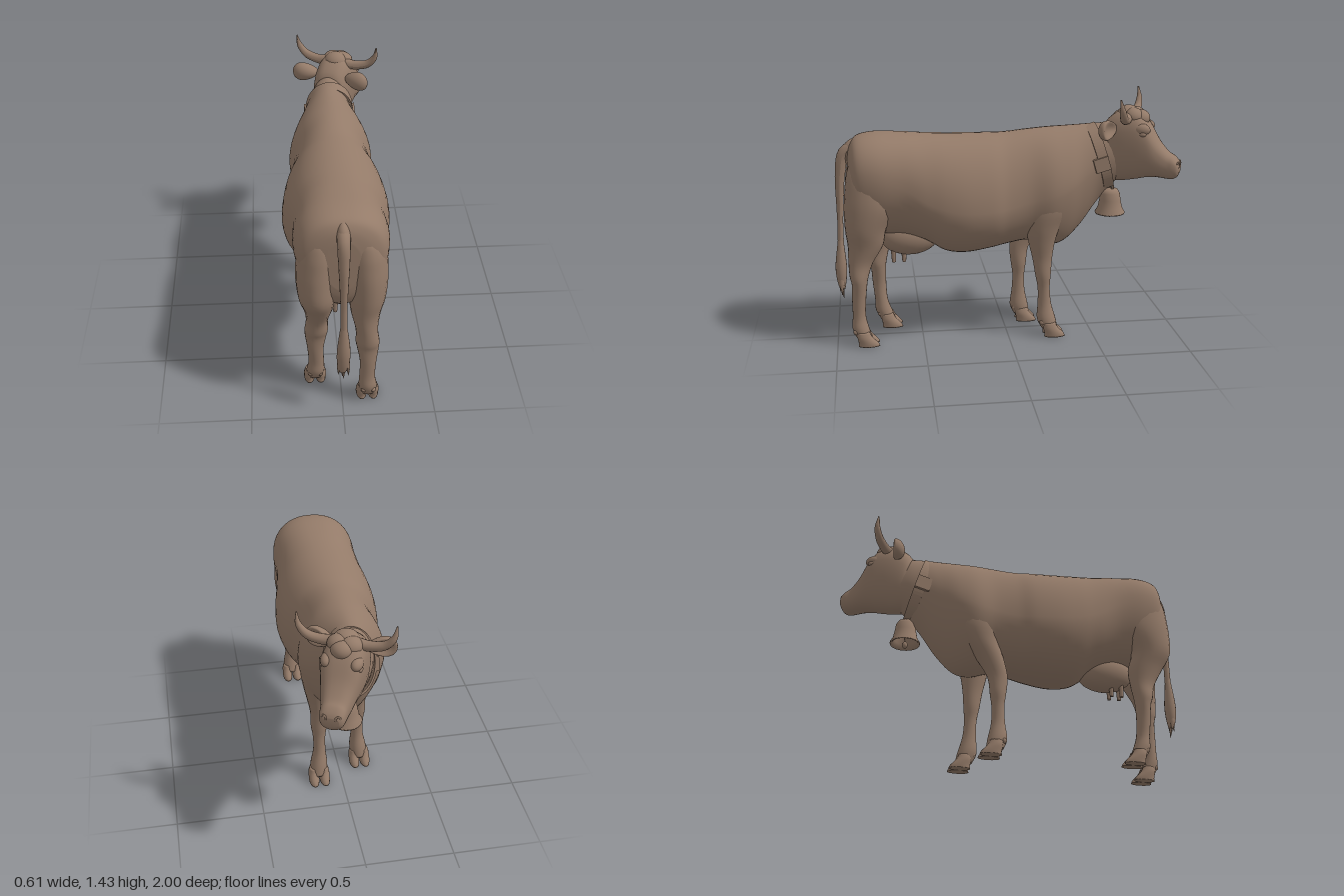
import * as THREE from 'three';

const hide = new THREE.MeshStandardMaterial({ color: 0x947b69, side: THREE.DoubleSide });
hide.name = 'brown hide';

function add(parent, name, geometry, pos = [0, 0, 0], scale = [1, 1, 1]) {
  const m = new THREE.Mesh(geometry, hide);
  m.name = name;
  m.position.set(...pos);
  m.scale.set(...scale);
  parent.add(m);
  return m;
}

// Smooth skin through cross-section rows; ring(row, cos, sin) gives a point
function loft(rows, ring, sub = 5, seg = 32) {
  const at = (i) => rows[Math.max(0, Math.min(rows.length - 1, i))];
  const fine = [];
  for (let i = 0; i < rows.length - 1; i++) {
    for (let k = 0; k < sub; k++) {
      const t = k / sub;
      fine.push(rows[i].map((b, j) => {
        const a = at(i - 1)[j], c = at(i + 1)[j], d = at(i + 2)[j];
        return b + 0.5 * t * (c - a + t * (2 * a - 5 * b + 4 * c - d + t * (3 * (b - c) + d - a)));
      }));
    }
  }
  fine.push(rows[rows.length - 1]);
  const pos = [], idx = [], n = fine.length;
  fine.forEach((r) => {
    for (let s = 0; s < seg; s++) {
      const a = (s / seg) * Math.PI * 2;
      pos.push(...ring(r, Math.cos(a), Math.sin(a)));
    }
  });
  for (let i = 0; i < n - 1; i++) {
    for (let s = 0; s < seg; s++) {
      const a = i * seg + s, b = i * seg + (s + 1) % seg;
      idx.push(a, b, a + seg, b, b + seg, a + seg);
    }
  }
  // end caps
  for (const [start, flip] of [[0, false], [(n - 1) * seg, true]]) {
    const c = [0, 0, 0], ci = pos.length / 3;
    for (let s = 0; s < seg; s++) for (let j = 0; j < 3; j++) c[j] += pos[(start + s) * 3 + j] / seg;
    pos.push(...c);
    for (let s = 0; s < seg; s++) {
      const a = start + s, b = start + (s + 1) % seg;
      idx.push(...(flip ? [ci, a, b] : [ci, b, a]));
    }
  }
  // turn the faces outward if the enclosed volume is negative
  const P = (i) => new THREE.Vector3().fromArray(pos, i * 3);
  let vol = 0;
  for (let i = 0; i < idx.length; i += 3) vol += P(idx[i]).dot(P(idx[i + 1]).cross(P(idx[i + 2])));
  if (vol < 0) idx.reverse();
  const g = new THREE.BufferGeometry();
  g.setAttribute('position', new THREE.Float32BufferAttribute(pos, 3));
  g.setIndex(idx);
  g.computeVertexNormals();
  return g;
}

const power = (v, e) => Math.sign(v) * Math.abs(v) ** (2 / e);
// row: z, top, bottom, height of widest point, half width, x centre, roundness of top and bottom
const alongZ = ([z, top, low, mid, w, x, eTop, eLow], c, s) => {
  const e = s > 0 ? eTop : eLow;
  return [x + w * power(c, e), mid + (s > 0 ? top - mid : mid - low) * power(s, e), z];
};
// row: y, x, z, x radius, z radius
const alongY = ([y, x, z, rx, rz], c, s) => [x + rx * c, y, z + rz * s];

const ball = new THREE.SphereGeometry(1, 24, 16);

// Tapering curved tube through points with a radius each
function taper(points, radii, sides = 14) {
  const curve = new THREE.CatmullRomCurve3(points.map((p) => new THREE.Vector3(...p)));
  const n = 28, g = new THREE.TubeGeometry(curve, n, 1, sides);
  const p = g.attributes.position, v = new THREE.Vector3();
  for (let i = 0; i <= n; i++) {
    const f = (i / n) * (radii.length - 1), k = Math.min(radii.length - 2, Math.floor(f));
    const r = THREE.MathUtils.lerp(radii[k], radii[k + 1], f - k), c = curve.getPointAt(i / n);
    for (let j = 0; j <= sides; j++) {
      const q = i * (sides + 1) + j;
      v.fromBufferAttribute(p, q).sub(c).multiplyScalar(r).add(c);
      p.setXYZ(q, v.x, v.y, v.z);
    }
  }
  g.computeVertexNormals();
  return g;
}

const rearRows = [
  [1.14, 0.1, 0.77, 0.04, 0.06], [1.08, 0.115, 0.785, 0.075, 0.105], [1.0, 0.125, 0.787, 0.1, 0.128],
  [0.92, 0.13, 0.787, 0.108, 0.138], [0.82, 0.135, 0.79, 0.108, 0.143], [0.7, 0.133, 0.815, 0.097, 0.116],
  [0.6, 0.125, 0.82, 0.08, 0.1], [0.5, 0.13, 0.85, 0.06, 0.07], [0.42, 0.135, 0.862, 0.064, 0.054],
  [0.37, 0.138, 0.862, 0.058, 0.044], [0.28, 0.14, 0.868, 0.045, 0.04], [0.18, 0.136, 0.87, 0.043, 0.038],
  [0.11, 0.14, 0.865, 0.05, 0.048], [0.05, 0.142, 0.845, 0.048, 0.045]];
const frontRows = [
  [1.08, 0.1, -0.25, 0.05, 0.06], [0.96, 0.12, -0.24, 0.09, 0.11], [0.8, 0.135, -0.225, 0.095, 0.128],
  [0.68, 0.135, -0.2, 0.08, 0.1], [0.58, 0.13, -0.195, 0.064, 0.077], [0.48, 0.125, -0.2, 0.05, 0.058],
  [0.38, 0.125, -0.205, 0.048, 0.046], [0.3, 0.125, -0.21, 0.037, 0.036], [0.2, 0.125, -0.215, 0.037, 0.04],
  [0.11, 0.13, -0.225, 0.05, 0.055], [0.05, 0.135, -0.245, 0.048, 0.048]];

function addLeg(parent, name, rows, side, upper, lower) {
  const leg = new THREE.Group();
  leg.name = name;
  parent.add(leg);
  const shift = (y) => upper * THREE.MathUtils.smoothstep(0.72 - y, 0, 0.27)
    + lower * THREE.MathUtils.clamp((0.45 - y) / 0.4, 0, 1);
  const placed = rows.map(([y, x, z, rx, rz]) => [y, x * side, z + shift(y), rx, rz]);
  add(leg, name + 'Limb', loft(placed, alongY, 4, 20));
  // cloven hoof with two claws and two dewclaws
  const [, fx, fz] = placed[placed.length - 1];
  for (const s of [-1, 1]) {
    add(leg, 'hoofClaw', loft([[0.005, 0, -0.026, 0.029, 0.062], [0.025, 0, -0.022, 0.031, 0.056],
      [0.06, 0, -0.002, 0.03, 0.043], [0.09, 0, 0.004, 0.022, 0.034]], alongY, 3, 16), [fx + s * 0.032, 0, fz]);
    add(leg, 'dewclaw', ball, [fx + s * 0.026, 0.092, fz + 0.045], [0.015, 0.017, 0.019]);
  }
}

function buildHead() {
  const head = new THREE.Group();
  head.name = 'head';
  // skull, brow, face and muzzle
  add(head, 'skull', loft([
    [0.03, 1.22, 0.98, 1.1, 0.07], [0, 1.28, 0.92, 1.12, 0.1], [-0.08, 1.335, 0.915, 1.16, 0.112],
    [-0.17, 1.335, 0.93, 1.17, 0.112], [-0.235, 1.27, 0.945, 1.15, 0.104], [-0.295, 1.17, 0.95, 1.07, 0.086],
    [-0.35, 1.105, 0.945, 1.03, 0.072], [-0.385, 1.083, 0.945, 1.02, 0.068], [-0.41, 1.058, 0.96, 1.015, 0.06],
    [-0.422, 1.035, 0.985, 1.01, 0.042]].map((r) => [...r, 0, 2.6, 2.2]), alongZ, 4, 28));
  // hair on the poll
  for (const [x, y, z, r] of [[0, 1.302, -0.115, 0.06], [0.03, 1.3, -0.15, 0.052], [-0.03, 1.298, -0.15, 0.052],
    [0.005, 1.29, -0.185, 0.05]]) {
    add(head, 'pollHair', ball, [x, y, z], [r * 1.2, r, r * 1.1]);
  }
  for (const s of [-1, 1]) {
    add(head, 'horn', taper([[s * 0.04, 1.3, -0.12], [s * 0.12, 1.295, -0.125], [s * 0.2, 1.315, -0.13],
      [s * 0.245, 1.365, -0.13], [s * 0.258, 1.43, -0.12]], [0.032, 0.028, 0.025, 0.018, 0.004]));
    // broad cupped ear, hollowed on its forward face
    const ear = ball.clone(), p = ear.attributes.position;
    for (let i = 0; i < p.count; i++) {
      const x = p.getX(i), y = p.getY(i), z = p.getZ(i);
      p.setZ(i, z < 0 ? z + 1.1 * Math.max(0, 1 - x * x - y * y) : z);
      p.setY(i, y * (0.9 + 0.3 * s * x));
    }
    ear.computeVertexNormals();
    add(head, 'ear', ear, [s * 0.166, 1.24, -0.037], [0.08, 0.06, 0.052]).rotation.y = s * -0.3;
    add(head, 'brow', ball, [s * 0.076, 1.235, -0.205], [0.034, 0.036, 0.052]);
    add(head, 'eye', ball, [s * 0.097, 1.212, -0.215], [0.014, 0.015, 0.022]);
    const nostril = add(head, 'nostril', new THREE.TorusGeometry(0.013, 0.005, 8, 16), [s * 0.036, 1.035, -0.416]);
    nostril.rotation.y = s * -0.4;
  }
  // head turned to one side
  head.position.set(0.012, 0, -0.602);
  head.rotation.y = -0.44;
  return head;
}

function buildCollar() {
  const collar = new THREE.Group();
  collar.name = 'collarAndBell';
  const band = new THREE.Shape().absellipse(0, 0, 0.142, 0.2, 0, Math.PI * 2);
  band.holes.push(new THREE.Path().absellipse(0, 0, 0.13, 0.187, 0, Math.PI * 2));
  const strap = add(collar, 'collar', new THREE.ExtrudeGeometry(band,
    { depth: 0.06, bevelEnabled: false, curveSegments: 32 }), [0.012, 1.065, -0.575]);
  strap.rotation.x = 0.29;
  for (const s of [-1, 1]) {
    const b = add(collar, 'buckle', new THREE.BoxGeometry(0.022, 0.08, 0.088), [0.012 + s * 0.142, 1.035, -0.537]);
    b.rotation.x = 0.29;
  }
  // bell with an inner wall, hanger and clapper
  const profile = [[0.001, 0.84], [0.04, 0.835], [0.05, 0.8], [0.062, 0.745], [0.076, 0.722], [0.086, 0.716],
    [0.088, 0.724], [0.072, 0.752], [0.062, 0.8], [0.056, 0.84], [0.042, 0.862], [0.001, 0.868]];
  add(collar, 'bell', new THREE.LatheGeometry(profile.map((q) => new THREE.Vector2(...q)), 32), [0.042, 0, -0.615]);
  add(collar, 'bellLoop', new THREE.TorusGeometry(0.022, 0.007, 8, 18), [0.042, 0.877, -0.615]).rotation.y = 0.5;
  add(collar, 'clapperRod', new THREE.CylinderGeometry(0.006, 0.006, 0.13, 8), [0.042, 0.78, -0.615]);
  add(collar, 'clapper', ball, [0.042, 0.712, -0.615], [0.016, 0.021, 0.016]);
  return collar;
}

export function createModel() {
  const cow = new THREE.Group();
  cow.name = 'cow';

  // trunk and neck, square at the rump, ridged over the shoulders, keeled at the brisket
  add(cow, 'body', loft([
    [0.905, 1.1, 0.8, 0.96, 0.09, 0, 2, 1.9], [0.89, 1.165, 0.73, 0.98, 0.17, 0, 2.1, 1.9],
    [0.85, 1.21, 0.67, 0.99, 0.225, 0, 2.25, 1.9], [0.75, 1.23, 0.64, 0.99, 0.25, 0, 2.25, 1.9],
    [0.6, 1.225, 0.63, 0.95, 0.25, 0, 2.25, 1.9], [0.47, 1.217, 0.59, 0.87, 0.272, 0, 2.15, 1.9],
    [0.36, 1.212, 0.525, 0.83, 0.293, 0, 2.1, 1.9], [0.24, 1.21, 0.51, 0.81, 0.3, 0, 2.05, 1.9],
    [0.1, 1.21, 0.53, 0.81, 0.283, 0, 2.05, 1.9], [0, 1.212, 0.55, 0.82, 0.25, 0, 2.05, 1.9],
    [-0.12, 1.225, 0.565, 0.85, 0.232, 0, 2, 1.9], [-0.24, 1.235, 0.53, 0.88, 0.244, 0, 1.9, 1.75],
    [-0.34, 1.24, 0.545, 0.92, 0.22, 0, 1.85, 1.6], [-0.44, 1.245, 0.64, 0.98, 0.168, 0, 1.9, 1.6],
    [-0.53, 1.25, 0.77, 1.04, 0.13, 0.005, 2, 1.7], [-0.62, 1.25, 0.89, 1.07, 0.113, 0.02, 2, 1.9],
    [-0.7, 1.2, 0.95, 1.07, 0.09, 0.04, 2, 1.9]], alongZ, 5, 44));
  add(cow, 'tailRoot', ball, [0, 1.11, 0.85], [0.045, 0.09, 0.085]);

  addLeg(cow, 'leftRearLeg', rearRows, 1, 0, 0);
  addLeg(cow, 'rightRearLeg', rearRows, -1, -0.105, -0.04);
  addLeg(cow, 'leftFrontLeg', frontRows, 1, 0, 0);
  addLeg(cow, 'rightFrontLeg', frontRows, -1, 0.105, 0.025);

  // udder
  add(cow, 'udder', ball, [0, 0.61, 0.565], [0.1, 0.11, 0.17]);
  for (const x of [-0.026, 0.026]) for (const z of [0.6, 0.66]) {
    add(cow, 'teat', new THREE.CylinderGeometry(0.016, 0.011, 0.075, 12), [x, 0.5, z]);
  }

  // tail with a hairy tuft ending in points
  add(cow, 'tail', taper([[0, 1.16, 0.84], [0, 1.12, 0.92], [0, 1, 0.948], [0, 0.8, 0.957], [0, 0.55, 0.962]],
    [0.036, 0.032, 0.024, 0.017, 0.018]));
  add(cow, 'tailTuft', loft([[0.64, 0, 0.96, 0.012, 0.012], [0.55, 0, 0.963, 0.025, 0.022],
    [0.44, 0, 0.965, 0.036, 0.033], [0.36, -0.002, 0.965, 0.033, 0.028], [0.3, -0.004, 0.963, 0.018, 0.016]], alongY, 4, 16));
  for (const [x, y, z] of [[-0.028, 0.27, 0.955], [0, 0.24, 0.955], [0.027, 0.27, 0.965], [-0.008, 0.28, 0.98]]) {
    add(cow, 'tuftPoint', taper([[x * 0.4, 0.4, 0.965], [x * 0.8, 0.33, 0.965], [x, y, z]], [0.018, 0.014, 0.001], 8));
  }

  cow.add(buildHead(), buildCollar());
  return cow;
}
